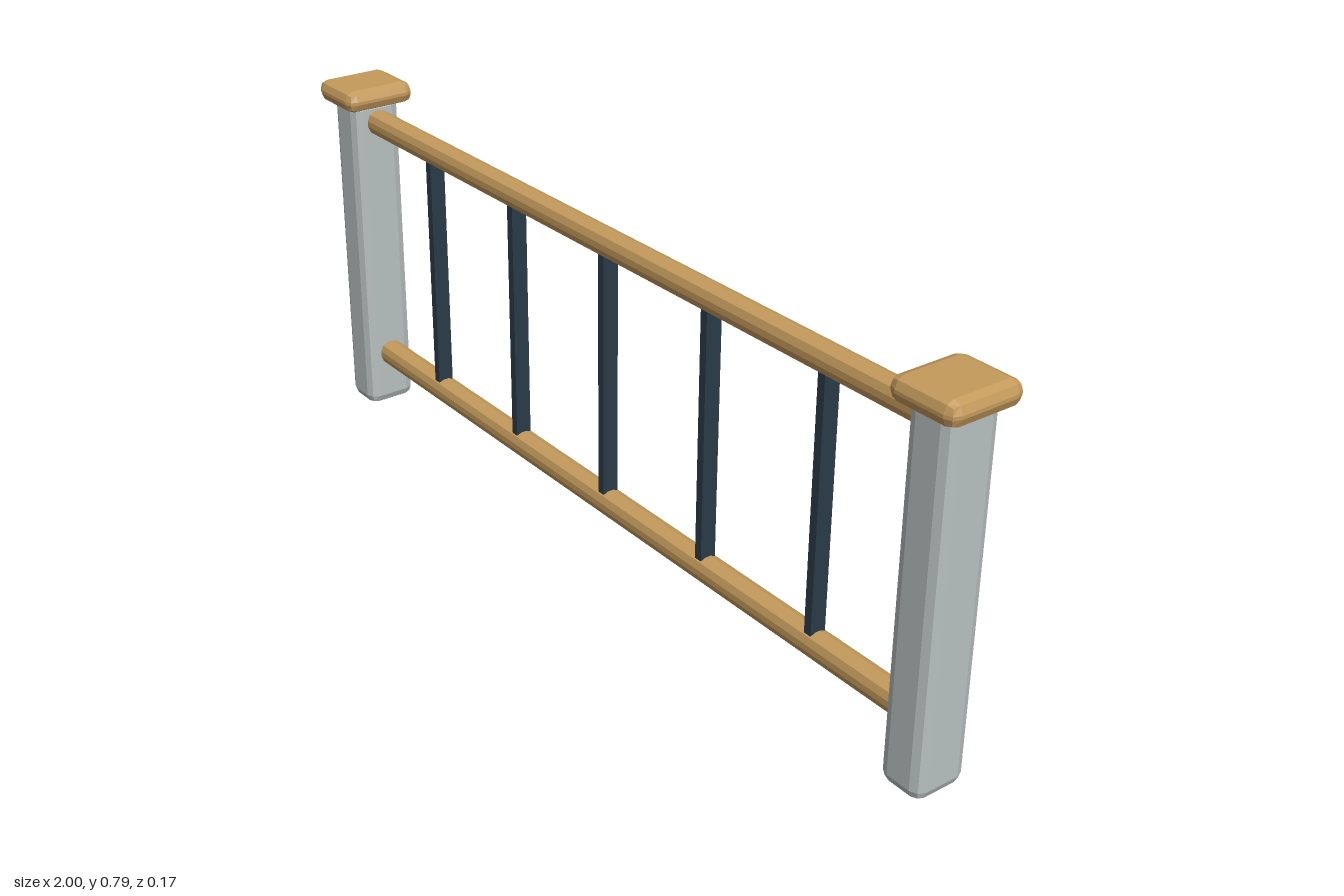
import * as THREE from 'three';
import { RoundedBoxGeometry } from 'three/addons/geometries/RoundedBoxGeometry.js';

const material = (color) => new THREE.MeshStandardMaterial({ color, flatShading: true });

export function createModel() {
  const model = new THREE.Group();
  model.name = 'railing';
  const stone = material(0xb8c0c0);
  const wood = material(0xc49a5c);
  const metal = material(0x2a3a48);

  function add(name, geometry, mat, x, y) {
    const mesh = new THREE.Mesh(geometry, mat);
    mesh.name = name;
    mesh.position.set(x, y, 0);
    model.add(mesh);
  }

  // Bevelled end posts with wooden caps
  const postGeo = new RoundedBoxGeometry(0.099, 0.76, 0.117, 1, 0.022);
  const capGeo = new RoundedBoxGeometry(0.149, 0.049, 0.166, 1, 0.021);
  for (const [side, s] of [['left', 1], ['right', -1]]) {
    add(side + 'Post', postGeo, stone, s * 0.926, 0.38);
    add(side + 'Cap', capGeo, wood, s * 0.926, 0.766);
  }

  // Rails, their ends sunk into the posts
  const railGeo = new RoundedBoxGeometry(1.8, 0.053, 0.053, 1, 0.02);
  add('topRail', railGeo, wood, 0, 0.706);
  add('bottomRail', railGeo, wood, 0, 0.132);

  // Flat balusters between the rails
  const balusterGeo = new THREE.BoxGeometry(0.018, 0.56, 0.035);
  for (let i = -2; i <= 2; i++) add('baluster' + (i + 3), balusterGeo, metal, i * 0.318, 0.419);

  return model;
}
